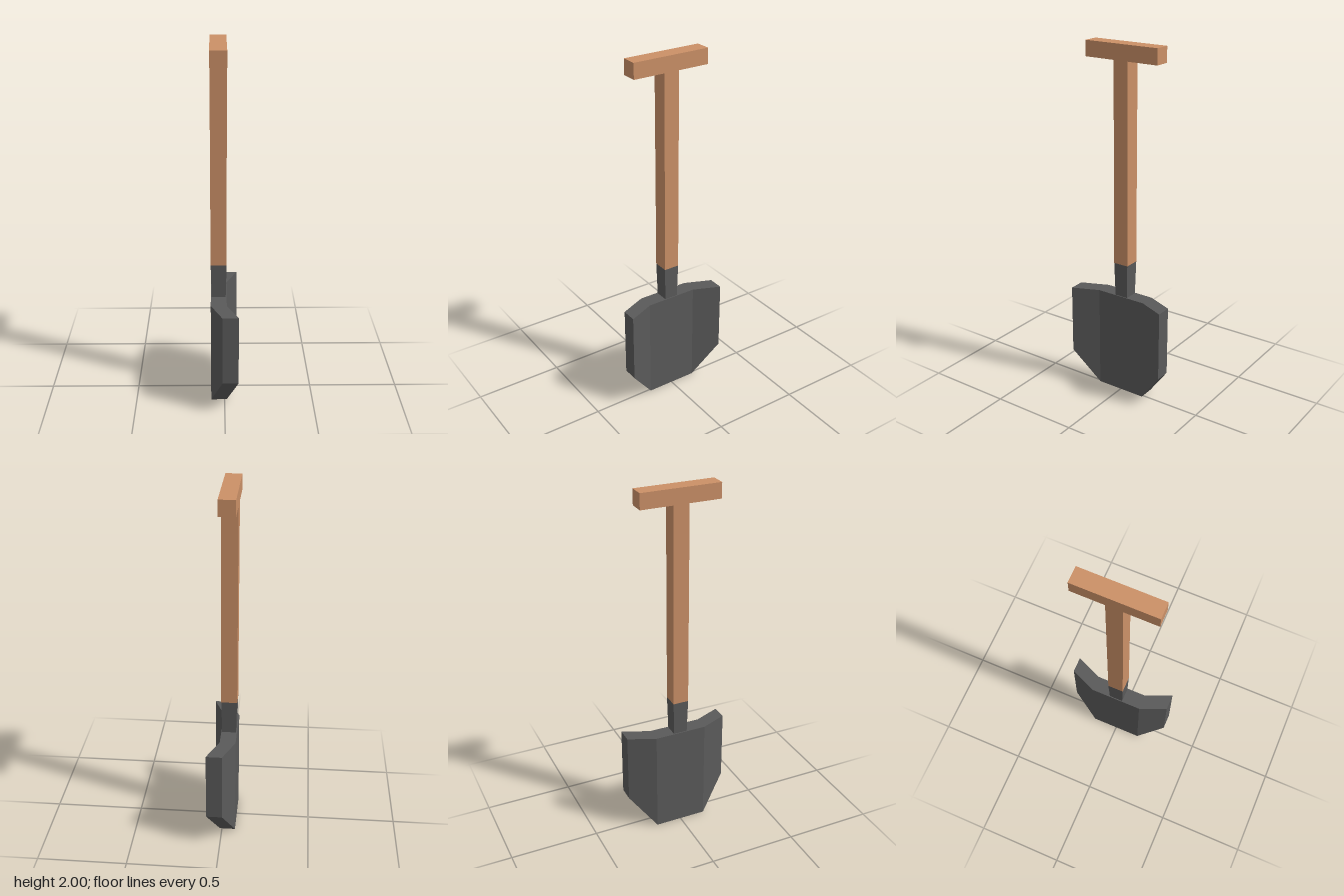
import * as THREE from 'three';

const wood = new THREE.MeshStandardMaterial({ color: 0xcb9067, flatShading: true });
const metal = new THREE.MeshStandardMaterial({ color: 0x5a5a5a, flatShading: true });

const SHAFT_X = -0.032; // centre line of shaft and grip
const THICK = 0.088;
const BLADE_TOP = 0.595, SOCKET_TOP = 0.79, GRIP_BOTTOM = 1.915;

function addPart(group, name, geometry, material, x = 0, y = 0, z = 0) {
  const mesh = new THREE.Mesh(geometry, material);
  mesh.name = name;
  mesh.position.set(x, y, z);
  group.add(mesh);
  return mesh;
}

// Closed solid skinned over rectangular sections { z, x, low }
function bladeGeometry(sections) {
  const positions = [], index = [];
  for (const { z, x, low } of sections) {
    positions.push(x, low, z, x + THICK, low, z, x + THICK, BLADE_TOP, z, x, BLADE_TOP, z);
  }
  for (let s = 0; s < sections.length - 1; s++) {
    for (let j = 0; j < 4; j++) {
      const a = s * 4 + j, b = s * 4 + (j + 1) % 4;
      index.push(a, b, b + 4, a, b + 4, a + 4);
    }
  }
  const e = (sections.length - 1) * 4;
  index.push(0, 2, 1, 0, 3, 2, e, e + 1, e + 2, e, e + 2, e + 3);
  const geometry = new THREE.BufferGeometry();
  geometry.setAttribute('position', new THREE.Float32BufferAttribute(positions, 3));
  geometry.setIndex(index);
  const flat = geometry.toNonIndexed();
  flat.computeVertexNormals();
  return flat;
}

export function createModel() {
  const shovel = new THREE.Group();
  shovel.name = 'shovel';

  // Blade: flat middle with two wings bent forward and cut away below
  addPart(shovel, 'blade', bladeGeometry([
    { z: -0.297, x: -0.013, low: 0.195 },
    { z: -0.148, x: -0.076, low: 0 },
    { z: 0.148, x: -0.076, low: 0 },
    { z: 0.297, x: -0.013, low: 0.195 },
  ]), metal);

  // Socket: square, slightly narrower toward the blade
  const socketHeight = SOCKET_TOP - BLADE_TOP;
  const socket = new THREE.CylinderGeometry(
    0.044 * Math.SQRT2, 0.039 * Math.SQRT2, socketHeight, 4).rotateY(Math.PI / 4);
  addPart(shovel, 'socket', socket, metal, SHAFT_X, BLADE_TOP + socketHeight / 2);

  // Wooden shaft and cross grip
  const shaftHeight = GRIP_BOTTOM - SOCKET_TOP;
  addPart(shovel, 'shaft', new THREE.BoxGeometry(THICK, shaftHeight, THICK), wood,
    SHAFT_X, SOCKET_TOP + shaftHeight / 2);
  const gripHeight = 2 - GRIP_BOTTOM;
  addPart(shovel, 'grip', new THREE.BoxGeometry(THICK, gripHeight, 0.444), wood,
    SHAFT_X, GRIP_BOTTOM + gripHeight / 2);

  return shovel;
}
